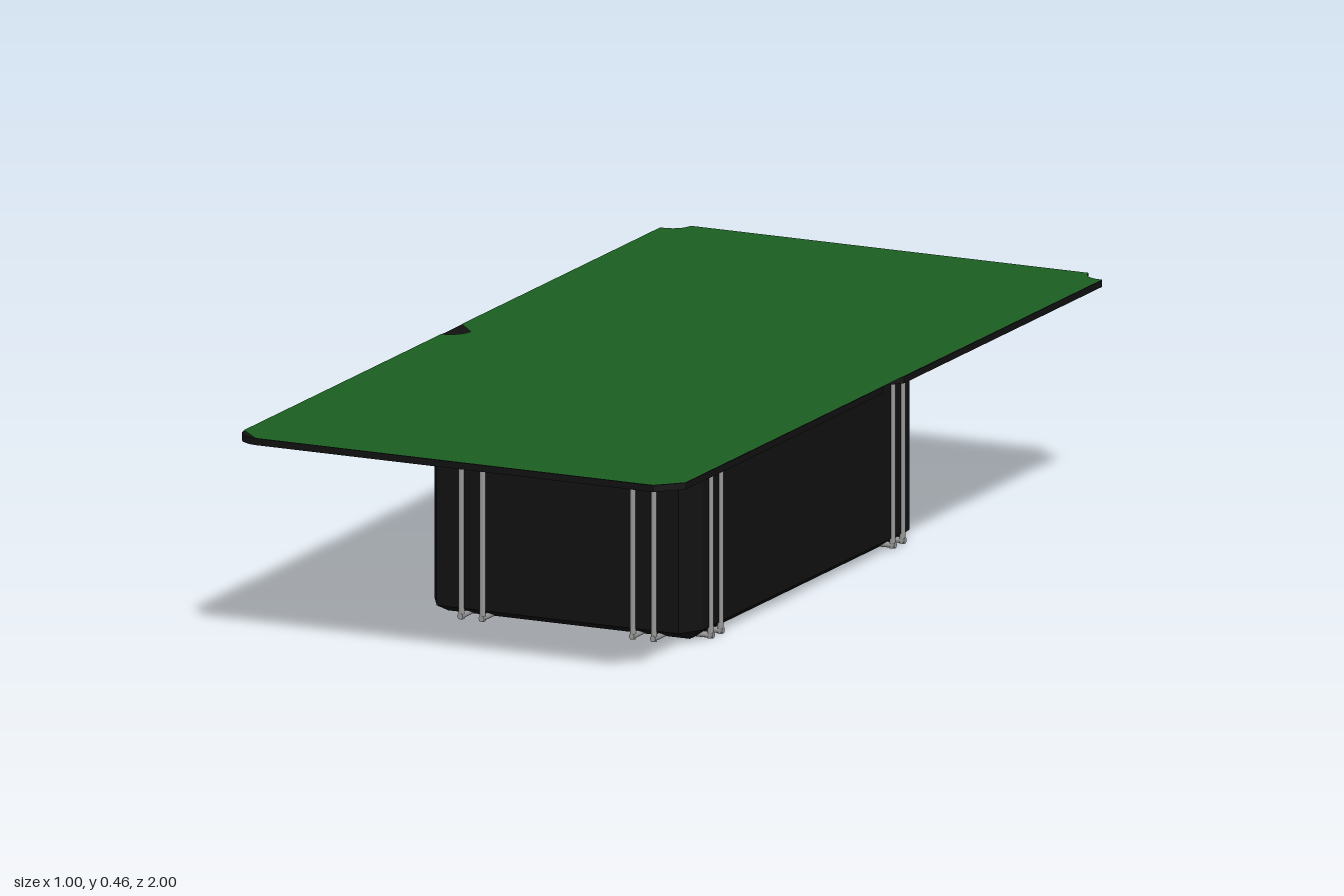
import * as THREE from 'three';
import { ConvexGeometry } from 'three/addons/geometries/ConvexGeometry.js';

const green = new THREE.MeshStandardMaterial({ color: 0x1b5e20, side: THREE.DoubleSide });
const black = new THREE.MeshStandardMaterial({ color: 0x111111, flatShading: true });
const grey = new THREE.MeshStandardMaterial({ color: 0x999999 });

function add(group, name, geometry, material) {
  const mesh = new THREE.Mesh(geometry, material);
  mesh.name = name;
  group.add(mesh);
  return mesh;
}

// Board outline (x, -z): hollow back corners, cut front corners, one side notch.
// side = -1 puts the notch on the right, +1 on the left.
function boardOutline(side, leftCut) {
  const s = new THREE.Shape();
  s.moveTo(-0.45, -1);
  s.lineTo(0.45, -1);
  s.lineTo(0.5, -0.95);
  if (side > 0) {
    s.lineTo(0.5, -0.045);
    s.quadraticCurveTo(0.46, -0.04, 0.455, 0);
    s.lineTo(0.5, 0.05);
  }
  s.lineTo(0.5, 0.96);
  s.quadraticCurveTo(0.455, 0.96, 0.45, 1);
  s.lineTo(-0.45, 1);
  s.quadraticCurveTo(-0.455, 0.96, -0.5, 0.96);
  if (side < 0) {
    s.lineTo(-0.5, 0.05);
    s.lineTo(-0.455, 0);
    s.quadraticCurveTo(-0.46, -0.04, -0.5, -0.045);
  }
  s.lineTo(-0.5, -0.95);
  s.quadraticCurveTo(-0.475 - leftCut, -0.975 - leftCut, -0.45, -1);
  return s;
}

// Box with every edge cut, the cut proportional to each side
function bevelledBox(w, h, d, cut) {
  const points = [];
  for (const x of [-1, 1]) for (const y of [-1, 1]) for (const z of [-1, 1]) {
    for (let full = 0; full < 3; full++) {
      const k = [0, 1, 2].map((i) => (i === full ? 0.5 : 0.5 - cut));
      points.push(new THREE.Vector3(x * w * k[0], y * h * k[1], z * d * k[2]));
    }
  }
  return new ConvexGeometry(points);
}

// Rectangular hoop of thin rods in the xy plane
function hoop(name, halfWidth, bottom, top) {
  const g = new THREE.Group();
  g.name = name;
  const r = 0.0065;
  const height = top - bottom;
  for (const s of [-1, 1]) {
    add(g, 'uprightRod', new THREE.CylinderGeometry(r, r, height, 8), grey)
      .position.set(s * (halfWidth - r), bottom + height / 2, 0);
  }
  for (const y of [bottom + r, top - r]) {
    const rod = add(g, 'crossRod', new THREE.CylinderGeometry(r, r, halfWidth * 2, 8), grey);
    rod.rotation.z = Math.PI / 2;
    rod.position.y = y;
  }
  return g;
}

export function createModel() {
  const model = new THREE.Group();

  // Board: dark slab with a thin green playing surface
  const slab = add(model, 'boardSlab', new THREE.ExtrudeGeometry(boardOutline(1, 0.02),
    { depth: 0.014, bevelEnabled: false, curveSegments: 6 }), black);
  slab.rotation.x = -Math.PI / 2;
  slab.position.y = 0.445;
  const surface = add(model, 'boardSurface', new THREE.ShapeGeometry(boardOutline(-1, 0), 6), green);
  surface.rotation.x = -Math.PI / 2;
  surface.position.y = 0.46;

  // Base block
  add(model, 'base', bevelledBox(0.608, 0.443, 1.05, 0.05), black).position.y = 0.2235;

  // Paired hoops around the base, in both directions
  for (const s of [-1, 1]) {
    for (const z of [0.395, 0.44]) {
      const h = hoop('crosswiseHoop', 0.311, s > 0 ? 0 : 0.003, 0.446);
      h.position.z = s * z;
      model.add(h);
    }
    for (const x of [0.17, 0.218]) {
      const h = hoop('lengthwiseHoop', 0.531, 0.002, 0.446);
      h.rotation.y = Math.PI / 2;
      h.position.x = s * x;
      model.add(h);
    }
  }
  return model;
}
